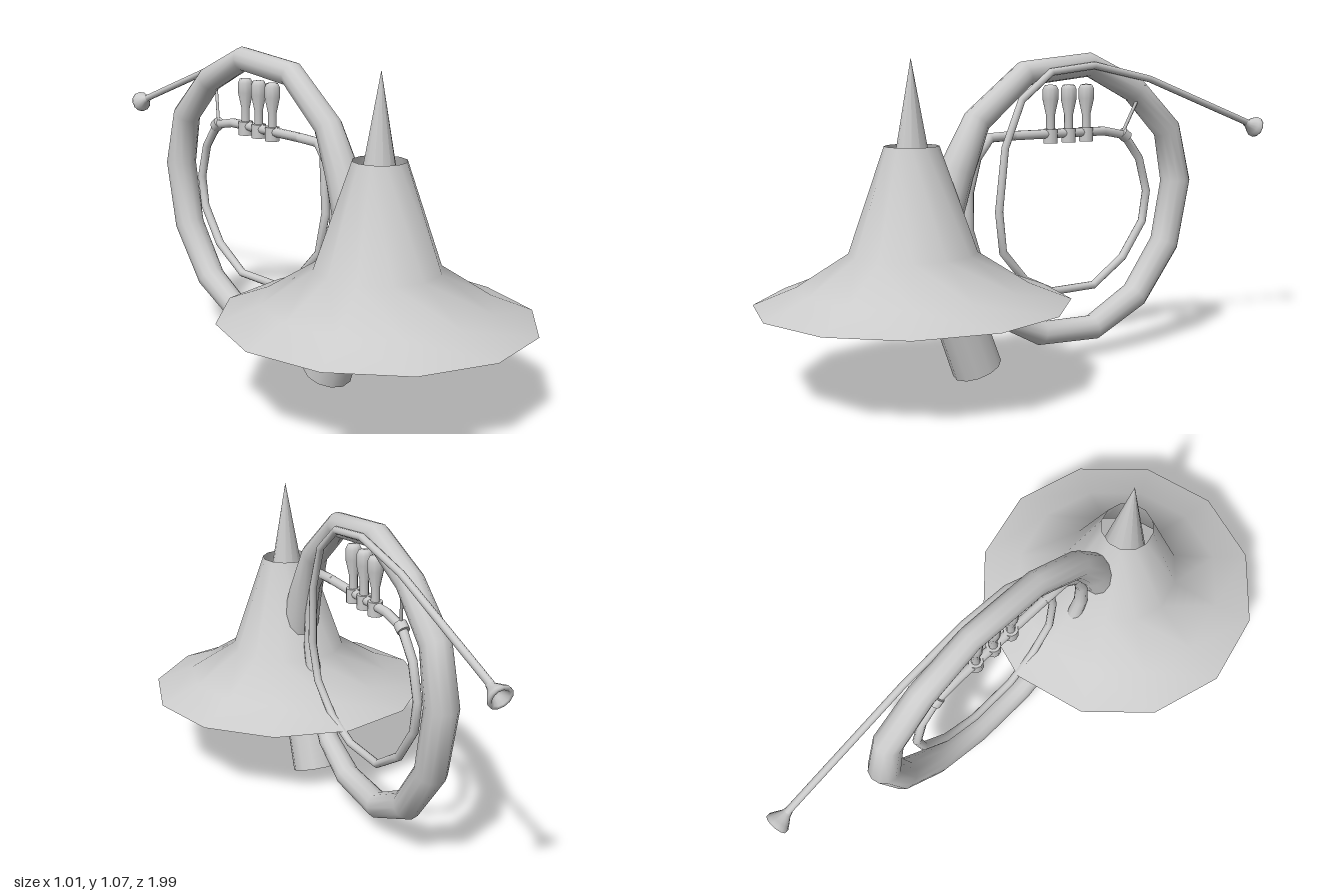
import * as THREE from 'three';

const mat = new THREE.MeshStandardMaterial({ color: 0xcccccc, side: THREE.DoubleSide });

function add(group, name, geometry, x = 0, y = 0, z = 0) {
  const mesh = new THREE.Mesh(geometry, mat);
  mesh.name = name;
  mesh.position.set(x, y, z);
  group.add(mesh);
  return mesh;
}

// Round tube of varying radius through stations [z, y, radius, x]
function taperedTube(stations, sides = 10) {
  const pts = stations.map(([z, y, , x = 0]) => new THREE.Vector3(x, y, z));
  const pos = [], index = [];
  pts.forEach((p, i) => {
    const before = pts[Math.max(i - 1, 0)], after = pts[Math.min(i + 1, pts.length - 1)];
    const a = p.clone().sub(before).normalize(), b = after.clone().sub(p).normalize();
    const t = a.add(b).normalize();
    const u = new THREE.Vector3(1, 0, 0);
    u.addScaledVector(t, -u.dot(t)).normalize();
    const v = t.clone().cross(u);
    for (let j = 0; j < sides; j++) {
      const ang = j / sides * Math.PI * 2;
      const q = p.clone().addScaledVector(u, Math.cos(ang) * stations[i][2])
        .addScaledVector(v, Math.sin(ang) * stations[i][2]);
      pos.push(q.x, q.y, q.z);
      if (i < pts.length - 1) {
        const k = (j + 1) % sides, r0 = i * sides, r1 = r0 + sides;
        index.push(r0 + j, r0 + k, r1 + j, r0 + k, r1 + k, r1 + j);
      }
    }
  });
  const g = new THREE.BufferGeometry();
  g.setAttribute('position', new THREE.Float32BufferAttribute(pos, 3));
  g.setIndex(index);
  g.computeVertexNormals();
  return g;
}

const lathe = (profile, sides) =>
  new THREE.LatheGeometry(profile.map(([r, y]) => new THREE.Vector2(r, y)), sides);

// Turn a mesh so its local y axis follows a direction
function aim(mesh, x, y, z) {
  mesh.quaternion.setFromUnitVectors(new THREE.Vector3(0, 1, 0), new THREE.Vector3(x, y, z).normalize());
}

export function createModel() {
  const horn = new THREE.Group();
  horn.name = 'horn';

  // Flared bell, open at both ends
  add(horn, 'bell', lathe([[0.507, 0.29], [0.37, 0.345], [0.205, 0.45], [0.087, 0.79]], 12), 0, 0, 0.488);

  // Spike rising through the bell and the stub leaving below it
  add(horn, 'spike', new THREE.ConeGeometry(0.082, 0.465, 12, 1, true), 0, 0.8325, 0.487);
  const low = new THREE.Vector3(0, 0.034, 0.252), high = new THREE.Vector3(0, 0.6, 0.465);
  const axis = high.clone().sub(low);
  const mid = low.clone().add(high).multiplyScalar(0.5);
  const stub = add(horn, 'bellStub', new THREE.CylinderGeometry(0.076, 0.084, axis.length(), 12), 0, mid.y, mid.z);
  aim(stub, axis.x, axis.y, axis.z);

  // Large ring, from the bell round the back and up through the brim
  add(horn, 'mainTube', taperedTube([
    [0.40, 0.50, 0.07], [0.325, 0.70, 0.058], [0.245, 0.86, 0.046], [0.055, 1.01, 0.043],
    [-0.215, 1.037, 0.042], [-0.42, 0.945, 0.046], [-0.575, 0.80, 0.05], [-0.62, 0.61, 0.055],
    [-0.57, 0.38, 0.053], [-0.43, 0.20, 0.05], [-0.237, 0.105, 0.045], [-0.01, 0.115, 0.042],
    [0.14, 0.19, 0.037], [0.24, 0.33, 0.03], [0.288, 0.50, 0.024], [0.283, 0.63, 0.021],
    [0.25, 0.74, 0.019], [0.195, 0.802, 0.017], [0.1, 0.805, 0.016],
  ], 12));

  // Valve pipe and inner loop, drifting sideways to become the mouthpipe
  add(horn, 'innerTube', taperedTube([
    [0.1, 0.805, 0.016, 0], [-0.28, 0.805, 0.016, 0], [-0.375, 0.787, 0.016, 0],
    [-0.445, 0.70, 0.015, 0], [-0.48, 0.58, 0.015, 0], [-0.462, 0.47, 0.015, 0],
    [-0.37, 0.345, 0.015, 0], [-0.235, 0.26, 0.014, 0.005], [-0.05, 0.26, 0.014, 0.01],
    [0.07, 0.315, 0.014, 0.02], [0.165, 0.42, 0.014, 0.03], [0.187, 0.56, 0.014, 0.04],
    [0.165, 0.77, 0.013, 0.045], [0.1, 0.925, 0.013, 0.047], [-0.02, 1.015, 0.013, 0.048],
    [-0.2, 1.035, 0.013, 0.048], [-0.45, 0.985, 0.012, 0.048], [-0.94, 0.813, 0.012, 0.048],
  ]));

  // Cupped mouthpiece
  const mouthpiece = add(horn, 'mouthpiece', lathe([
    [0.012, 0], [0.016, 0.015], [0.032, 0.04], [0.039, 0.052], [0.039, 0.06],
    [0.028, 0.06], [0.018, 0.04], [0, 0.025],
  ], 12), 0.048, 0.813, -0.93);
  aim(mouthpiece, 0, -0.33, -0.94);

  // Three valves: a collar on the pipe with a knobbed key above
  for (const z of [-0.05, -0.127, -0.203]) {
    const valve = new THREE.Group();
    valve.name = 'valve';
    valve.position.set(0, 0.797, z);
    const collar = add(valve, 'valveCollar', new THREE.CylinderGeometry(0.025, 0.025, 0.048, 10));
    collar.rotation.y = Math.PI / 10;
    add(valve, 'valveKey', lathe([
      [0.015, 0], [0.015, 0.07], [0.027, 0.125], [0.027, 0.158], [0.02, 0.172], [0, 0.175],
    ], 10));
    horn.add(valve);
  }

  // Brace between the inner loop and the mouthpipe
  add(horn, 'brace', taperedTube([[-0.37, 0.80, 0.006, 0], [-0.435, 0.965, 0.006, 0.035]], 6));
  const clamp = add(horn, 'braceClamp', new THREE.CylinderGeometry(0.022, 0.022, 0.03, 10), 0, 0.787, -0.375);
  aim(clamp, 0, -0.6, -0.8);

  return horn;
}
